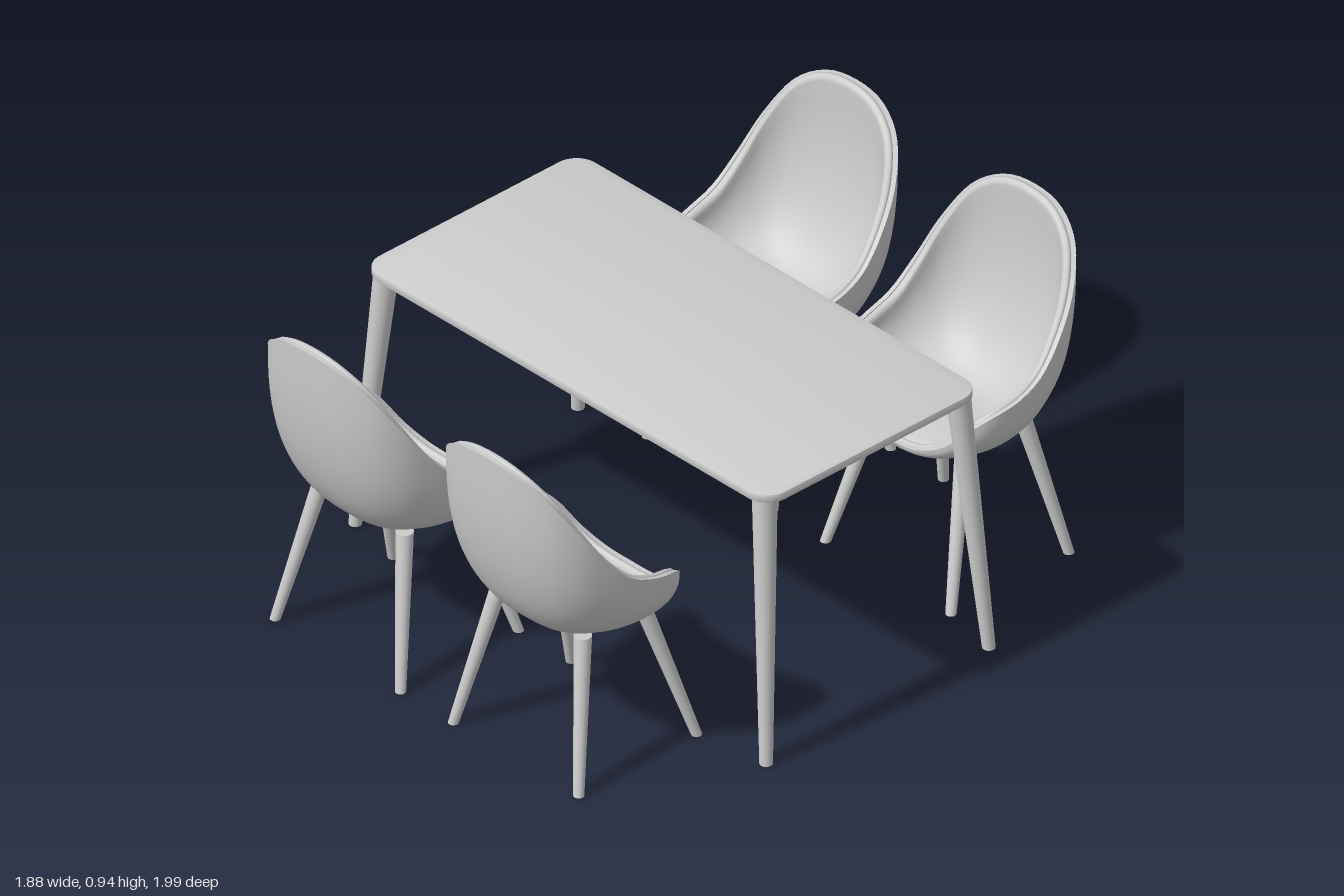
import * as THREE from 'three';
import { toCreasedNormals } from 'three/addons/utils/BufferGeometryUtils.js';

const material = new THREE.MeshStandardMaterial({ color: 0xcccccc, side: THREE.DoubleSide });

function addMesh(parent, name, geometry) {
  const mesh = new THREE.Mesh(geometry, material);
  mesh.name = name;
  parent.add(mesh);
}

// Tapered round leg, splayed from (topX, topZ) to (footX, footZ)
function splayedLeg(height, rTop, rFoot, topX, topZ, footX, footZ) {
  const kx = (topX - footX) / height, kz = (topZ - footZ) / height;
  const geo = new THREE.CylinderGeometry(rTop, rFoot, height, 24);
  geo.translate(0, height / 2, 0);
  geo.applyMatrix4(new THREE.Matrix4().set(
    1, kx, 0, footX,
    0, 1, 0, 0,
    0, kz, 1, footZ,
    0, 0, 0, 1));
  return geo;
}

// Four mirrored legs; midZ holds the middle of the tops and of the feet
function addLegs(parent, name, height, rTop, rFoot, top, foot, midZ) {
  for (const sx of [-1, 1]) for (const sz of [-1, 1]) {
    const geo = splayedLeg(height, rTop, rFoot,
      sx * top[0], midZ[0] + sz * top[1], sx * foot[0], midZ[1] + sz * foot[1]);
    addMesh(parent, (sz > 0 ? 'front' : 'back') + (sx > 0 ? 'Left' : 'Right') + name, geo);
  }
}

// Half of the chair rim, from the top of the back round the arm to the seat front
const HALF_RIM = [
  [0, 0.936, -0.25], [0.1, 0.922, -0.242], [0.182, 0.872, -0.212], [0.236, 0.775, -0.155],
  [0.26, 0.675, -0.085], [0.272, 0.6, -0.01], [0.276, 0.567, 0.07], [0.264, 0.548, 0.145],
  [0.222, 0.505, 0.195], [0.16, 0.445, 0.224], [0.085, 0.412, 0.24], [0, 0.405, 0.245],
];
const RING = 80;

function rimPoints() {
  const half = HALF_RIM.map(p => new THREE.Vector3(...p));
  const mirrored = half.slice(1, -1).reverse().map(p => new THREE.Vector3(-p.x, p.y, p.z));
  return new THREE.CatmullRomCurve3([...half, ...mirrored], true).getSpacedPoints(RING).slice(0, RING);
}

// Rim moved inwards by d and up by h
function offsetRim(rim, d, h) {
  return rim.map(p => {
    const k = 1 - d / Math.hypot(p.x, p.z);
    return new THREE.Vector3(p.x * k, p.y + h, p.z * k);
  });
}

// Bowl cross-section: s = 0 at the bottom centre, s = 1 on the rim; a lower power is squarer
function bowlRing(rim, bottomY, s, power) {
  const a = Math.max(s, 0.001) * Math.PI / 2;
  const f = Math.pow(Math.sin(a), power);
  const g = 1 - Math.pow(Math.max(0, Math.cos(a)), power);
  const cz = 0.02;
  return rim.map(p => new THREE.Vector3(p.x * f, bottomY + (p.y - bottomY) * g, cz + (p.z - cz) * f));
}

function skin(rows) {
  const positions = rows.flatMap(row => row.flatMap(p => [p.x, p.y, p.z]));
  const index = [];
  for (let i = 0; i < rows.length - 1; i++) {
    for (let j = 0; j < RING; j++) {
      const a = i * RING + j, b = i * RING + (j + 1) % RING;
      index.push(a, a + RING, b, b, a + RING, b + RING);
    }
  }
  const geo = new THREE.BufferGeometry();
  geo.setAttribute('position', new THREE.Float32BufferAttribute(positions, 3));
  geo.setIndex(index);
  geo.computeVertexNormals();
  return geo;
}

function createChair() {
  const chair = new THREE.Group();
  const rim = rimPoints();
  const steps = 22;

  // Thin outer shell with a narrow flat lip
  const shell = [];
  for (let i = 0; i <= steps; i++) shell.push(bowlRing(rim, 0.36, i / steps, 0.8));
  shell.push(offsetRim(rim, 0.012, 0), offsetRim(rim, 0.013, -0.015));
  addMesh(chair, 'shell', toCreasedNormals(skin(shell), 0.7));

  // Padded lining with a rounded edge
  const pad = [[0.013, -0.015], [0.013, -0.004], [0.016, 0.002], [0.022, 0.004], [0.029, 0.001], [0.033, -0.005]]
    .map(([d, h]) => offsetRim(rim, d, h));
  const inner = offsetRim(rim, 0.035, -0.012);
  for (let i = steps; i >= 0; i--) pad.push(bowlRing(inner, 0.42, i / steps, 0.9));
  addMesh(chair, 'seatPad', skin(pad));

  addLegs(chair, 'ChairLeg', 0.4, 0.023, 0.014, [0.15, 0.1], [0.225, 0.2], [0.035, 0.05]);
  return chair;
}

function createTable() {
  const table = new THREE.Group();
  table.name = 'table';

  // Rounded rectangular top
  const a = 0.725, b = 0.365, r = 0.06, bevel = 0.003;
  const shape = new THREE.Shape();
  shape.absarc(a - r, b - r, r, 0, Math.PI / 2);
  shape.absarc(-a + r, b - r, r, Math.PI / 2, Math.PI);
  shape.absarc(-a + r, -b + r, r, Math.PI, Math.PI * 1.5);
  shape.absarc(a - r, -b + r, r, Math.PI * 1.5, Math.PI * 2);
  shape.closePath();
  const geo = new THREE.ExtrudeGeometry(shape, {
    depth: 0.017, bevelSize: bevel, bevelThickness: bevel, bevelSegments: 2, curveSegments: 12,
  });
  geo.rotateX(-Math.PI / 2);
  geo.translate(0, 0.745, 0);
  addMesh(table, 'tableTop', toCreasedNormals(geo, 0.6));

  addLegs(table, 'TableLeg', 0.744, 0.032, 0.017, [0.68, 0.328], [0.738, 0.378], [0, 0]);
  return table;
}

export function createModel() {
  const model = new THREE.Group();
  model.name = 'diningSet';
  const set = new THREE.Group();
  set.name = 'tableAndChairs';
  set.rotation.y = -THREE.MathUtils.degToRad(34.8);
  model.add(set);
  set.add(createTable());

  // Two chairs on each long side, facing the table; the two sides are slightly staggered
  for (const side of [-1, 1]) for (const x of [-0.32, 0.32]) {
    const chair = createChair();
    chair.name = (side > 0 ? 'front' : 'back') + (x > 0 ? 'Left' : 'Right') + 'Chair';
    chair.position.set(x - side * 0.02, 0, side * 0.663);
    chair.rotation.y = side > 0 ? Math.PI : 0;
    set.add(chair);
  }
  return model;
}
